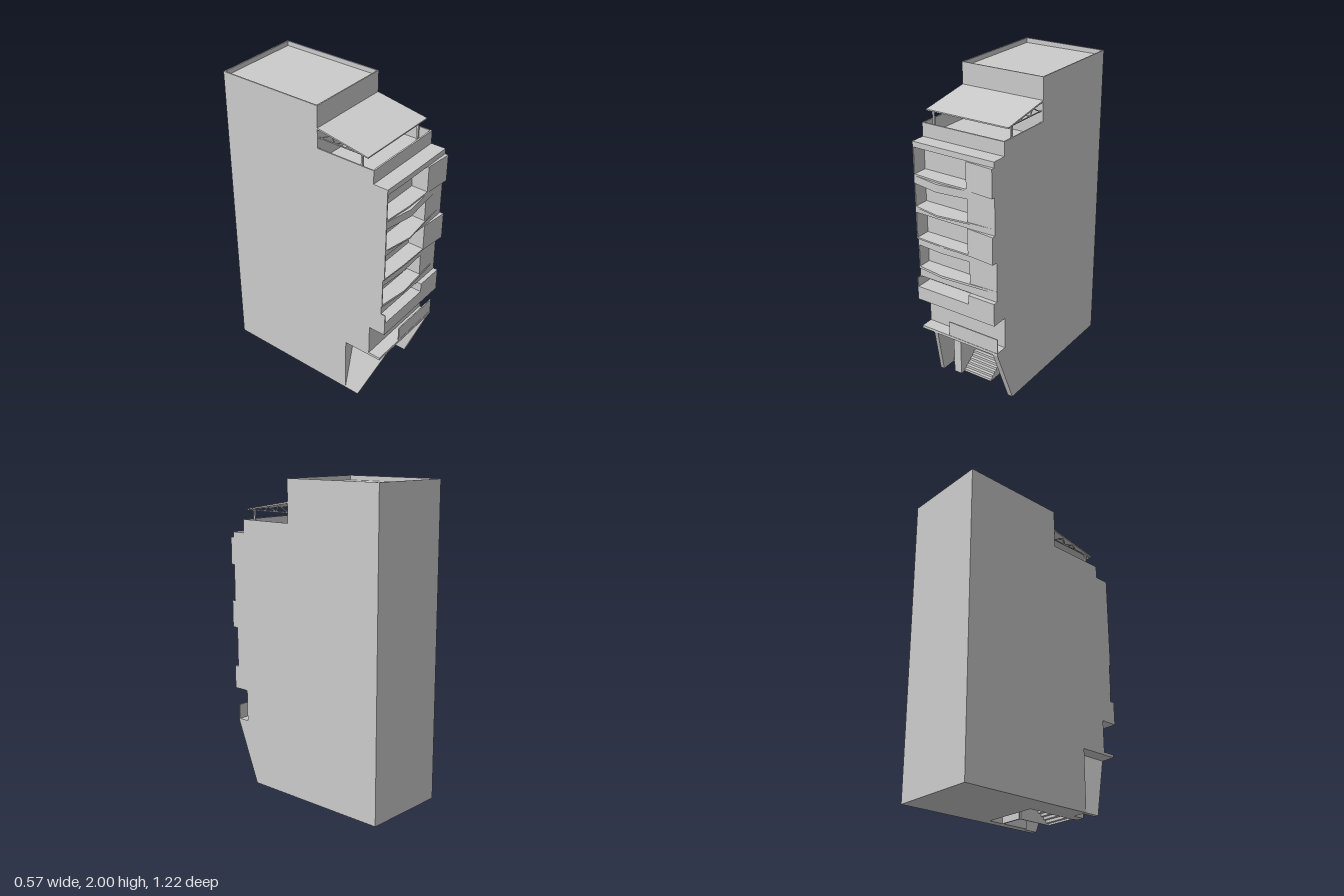
import * as THREE from 'three';

const W = 0.285; // half width of the building

export function createModel() {
  const root = new THREE.Group();
  const mat = new THREE.MeshStandardMaterial({ color: 0xcccccc, flatShading: true, side: THREE.DoubleSide });

  const add = (name, geo) => {
    const m = new THREE.Mesh(geo, mat);
    m.name = name;
    root.add(m);
    return m;
  };
  // Box given by its limits on each axis
  const box = (name, x0, x1, y0, y1, z0, z1) =>
    add(name, new THREE.BoxGeometry(x1 - x0, y1 - y0, z1 - z0)
      .translate((x0 + x1) / 2, (y0 + y1) / 2, (z0 + z1) / 2));
  const shapeOf = pts => new THREE.Shape(pts.map(p => new THREE.Vector2(p[0], p[1])));
  // Side profile of [z, y] points, extruded from x0 to x1
  const profile = (name, pts, x0, x1) =>
    add(name, new THREE.ExtrudeGeometry(shapeOf(pts), { depth: x1 - x0, bevelEnabled: false })
      .rotateY(-Math.PI / 2).translate(x1, 0, 0));
  // Floor plan of [x, z] points, extruded from y0 to y1
  const plan = (name, pts, y0, y1) =>
    add(name, new THREE.ExtrudeGeometry(shapeOf(pts.map(p => [p[0], -p[1]])), { depth: y1 - y0, bevelEnabled: false })
      .rotateX(-Math.PI / 2).translate(0, y0, 0));
  // Thin square bar between two [z, y] points
  const bar = (name, x, a, b, t) => {
    const dz = b[0] - a[0], dy = b[1] - a[1];
    const m = add(name, new THREE.BoxGeometry(t, t, Math.hypot(dz, dy)));
    m.position.set(x, (a[1] + b[1]) / 2, (a[0] + b[0]) / 2);
    m.rotation.x = -Math.atan2(dy, dz);
  };

  // Main volumes
  box('baseBlock', -W, W, 0, 0.395, -0.61, 0);
  box('mainBody', -W, W, 0.395, 1.65, -0.61, 0.48);
  box('tower', -W, W, 1.65, 1.97, -0.61, 0.09);

  // Roof parapet
  for (const s of [-1, 1]) {
    const x = s * (W - 0.004);
    box('roofParapetSide', x - 0.004, x + 0.004, 1.97, 2, -0.61, 0.09);
    box('terraceParapetSide', x - 0.004, x + 0.004, 1.65, 1.735, 0.09, 0.48);
  }
  box('roofParapetBack', -W, W, 1.97, 2, -0.61, -0.602);
  box('roofParapetFront', -W, W, 1.97, 2, 0.082, 0.09);
  box('terraceParapetFront', -W, W, 1.65, 1.735, 0.47, 0.48);

  // Sloping terrace canopy with posts and side trusses
  profile('canopy', [[0.09, 1.853], [0.44, 1.795], [0.44, 1.803], [0.09, 1.863]], -W, W);
  const zig = [[0.3, 1.797], [0.27, 1.823], [0.2, 1.797], [0.18, 1.838], [0.1, 1.797]];
  for (const x of [-0.27, 0.27]) {
    box('canopyPost', x - 0.006, x + 0.006, 1.65, 1.8, 0.385, 0.397);
    bar('trussChord', x, [0.09, 1.797], [0.43, 1.797], 0.006);
    for (let i = 0; i < zig.length - 1; i++) bar('trussWeb', x, zig[i], zig[i + 1], 0.005);
  }

  // Facade bands: y0, y1, open balcony?, front z at the left end, peak, dip and right end
  const bands = [
    [0.62, 0.71, 0, 0.59, 0.59, 0.59, 0.59],
    [0.71, 0.77, 1, 0.59, 0.59, 0.59, 0.59],
    [0.77, 0.825, 0, 0.56, 0.56, 0.56, 0.56],
    [0.825, 0.84, 0, 0.565, 0.59, 0.575, 0.56],
    [0.84, 0.985, 1, 0.565, 0.58, 0.57, 0.56],
    [0.985, 1.03, 0, 0.565, 0.58, 0.57, 0.56],
    [1.03, 1.04, 0, 0.575, 0.585, 0.585, 0.6],
    [1.04, 1.205, 1, 0.575, 0.585, 0.585, 0.6],
    [1.205, 1.235, 0, 0.575, 0.58, 0.58, 0.575],
    [1.235, 1.245, 0, 0.575, 0.61, 0.585, 0.575],
    [1.245, 1.39, 1, 0.575, 0.595, 0.58, 0.575],
    [1.39, 1.44, 0, 0.575, 0.61, 0.585, 0.575],
    [1.44, 1.45, 0, 0.575, 0.59, 0.588, 0.6],
    [1.45, 1.615, 1, 0.575, 0.59, 0.588, 0.6],
    [1.615, 1.65, 0, 0.575, 0.578, 0.578, 0.578],
  ];
  for (const [y0, y1, open, zl, zp, zd, zr] of bands) {
    if (open) {
      const zi = zp + (zd - zp) * 0.9;
      plan('facadePier', [[0.1, 0.48], [W, 0.48], [W, zr], [0.12, zd], [0.1, zi]], y0, y1);
      box('balconySideWall', -W, -0.278, y0, y1, 0.48, zl);
    } else {
      plan('facadeBand', [[-W, 0.48], [W, 0.48], [W, zr], [0.12, zd], [-0.095, zp], [-W, zl]], y0, y1);
    }
  }

  // Entrance canopy slab and upright fascia board
  box('entranceSlab', -W, W, 0.395, 0.413, 0.47, 0.562);
  box('fasciaBoard', -0.075, W, 0.413, 0.51, 0.553, 0.56);

  // Raked side wall on one side, block with column and leaning leg on the other
  profile('rakedWall', [[0, 0], [0.4, 0], [0.56, 0.395], [0, 0.395]], 0.25, W);
  box('innerPier', 0.23, 0.25, 0, 0.395, 0, 0.3);
  box('sideBlock', -W, -0.13, 0, 0.395, 0, 0.3);
  box('entranceColumn', -0.185, -0.13, 0, 0.395, 0.3, 0.38);
  const leg = profile('leaningLeg', [[0.3, 0], [0.4, 0], [0.56, 0.395], [0.3, 0.395]], -W, -0.258);
  const p = leg.geometry.attributes.position;
  for (let i = 0; i < p.count; i++) p.setX(i, p.getX(i) + p.getY(i) * 0.23);
  leg.geometry.computeVertexNormals();

  // Stair as a folded plate rising to the landing
  const n = 11, rise = 0.185 / n, run = 0.235 / n, steps = [[0.345, 0]];
  for (let i = 0; i < n; i++) {
    steps.push([0.345 - i * run, (i + 1) * rise], [0.345 - (i + 1) * run, (i + 1) * rise]);
  }
  const under = steps.slice(1).reverse().map(([z, y]) => [z - 0.006, y - 0.006]);
  profile('stair', [...steps, ...under, [0.339, 0]], -0.13, 0.08);
  for (const x of [-0.13, 0.074]) profile('stairCheek', [...steps, [0.11, 0]], x, x + 0.006);
  box('landing', -0.13, 0.23, 0.165, 0.185, 0, 0.11);
  box('landingFront', 0.08, 0.23, 0, 0.165, 0.1, 0.11);

  return root;
}
